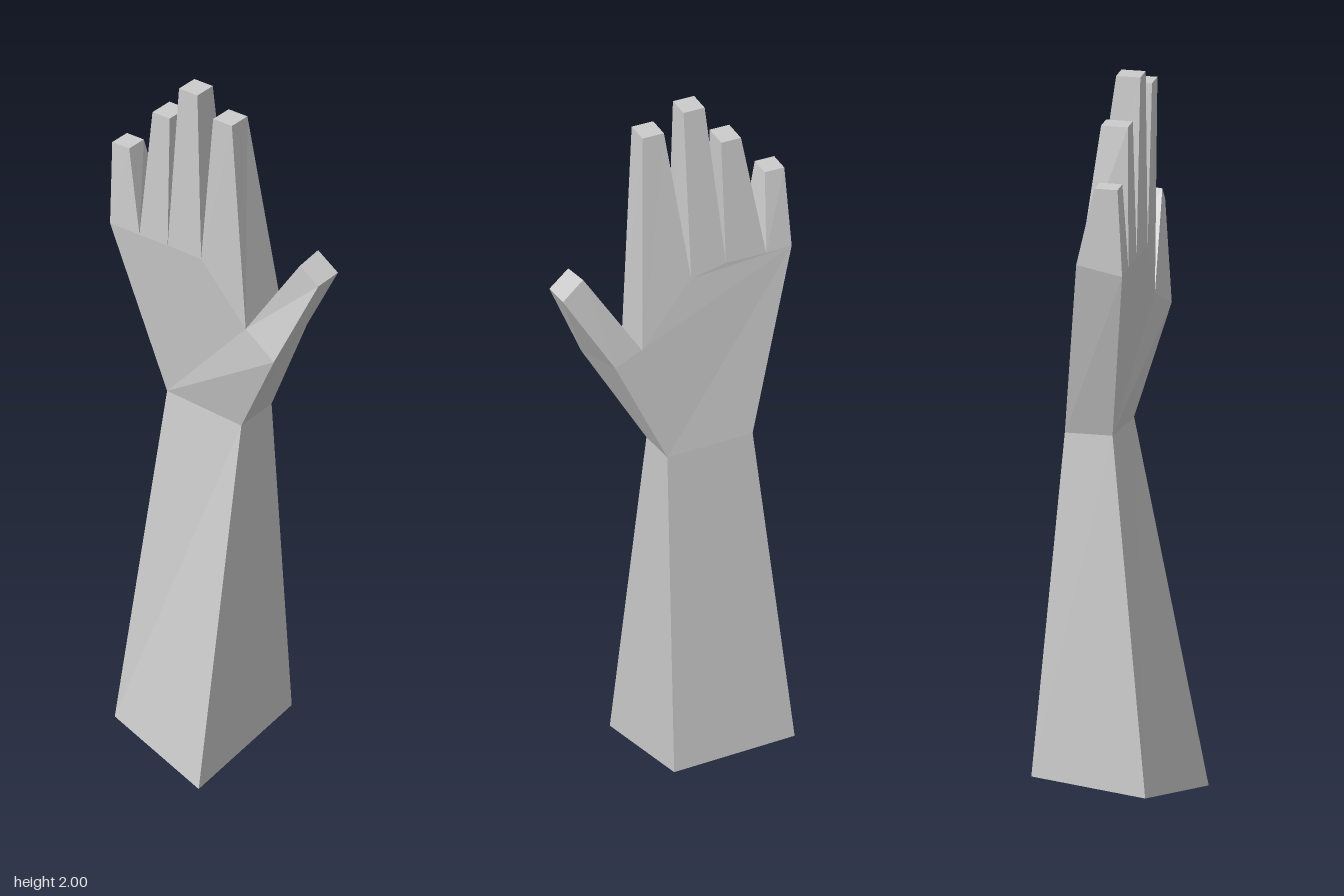
import * as THREE from 'three';

// Faceted mesh from polygons (corners counter-clockwise seen from outside)
function facetedMesh(name, faces) {
  const pos = [];
  for (const f of faces)
    for (let i = 1; i < f.length - 1; i++) pos.push(...f[0], ...f[i], ...f[i + 1]);
  const geo = new THREE.BufferGeometry();
  geo.setAttribute('position', new THREE.Float32BufferAttribute(pos, 3));
  geo.computeVertexNormals();
  const mesh = new THREE.Mesh(geo, new THREE.MeshStandardMaterial({ color: 0xcccccc, flatShading: true }));
  mesh.name = name;
  return mesh;
}

// Four sides between two sections: front left, front right, back right, back left
function sides(a, b) {
  return a.map((p, i) => {
    const j = (i + 1) % 4;
    return [p, a[j], b[j], b[i]];
  });
}

export function createModel() {
  const hand = new THREE.Group();
  hand.name = 'handAndForearm';

  const elbow = [[-0.28, 0.06, 0.11], [0.073, 0, 0.2], [0.073, 0.08, -0.2], [-0.28, 0.1, -0.2]];
  const wrist = [[-0.19, 1.03, 0], [0.06, 1.01, 0], [0.06, 1.02, -0.13], [-0.19, 1.03, -0.13]];

  // Gaps between the fingers, from the little finger to the thumb
  const frontGaps = [[-0.335, 1.515, 0.06], [-0.24, 1.51, 0.055], [-0.145, 1.51, 0.055],
    [-0.03, 1.51, 0.058], [0.11, 1.34, 0.045]];
  const backGaps = [[-0.335, 1.54, -0.065], [-0.258, 1.54, -0.07], [-0.14, 1.54, -0.07],
    [-0.037, 1.52, -0.073], [0.118, 1.35, -0.098]];
  const thumbFront = [0.22, 1.285, 0.065];
  const thumbBack = [0.2, 1.32, -0.104];

  // Forearm with a slanted cut end
  hand.add(facetedMesh('forearm', [...sides(elbow, wrist), [...elbow].reverse()]));

  // Palm, back of the hand and the two edges
  const palmFront = [wrist[0], wrist[1], thumbFront, ...[...frontGaps].reverse()];
  const palmBack = [wrist[3], wrist[2], thumbBack, ...[...backGaps].reverse()];
  hand.add(facetedMesh('palm', [
    palmFront,
    [...palmBack].reverse(),
    [wrist[1], wrist[2], thumbBack, thumbFront],
    [wrist[3], wrist[0], frontGaps[0], backGaps[0]],
  ]));

  // Fingers taper from the gaps to a flat tip: left x, right x, height, back z, front z
  const tips = {
    littleFinger: [-0.337, -0.28, 1.755, -0.015, 0.048],
    ringFinger: [-0.204, -0.146, 1.89, -0.028, 0.045],
    middleFinger: [-0.106, -0.044, 2, -0.01, 0.056],
    indexFinger: [0.012, 0.075, 1.95, -0.007, 0.06],
  };
  Object.entries(tips).forEach(([name, [x0, x1, y, z0, z1]], i) => {
    const base = [frontGaps[i], frontGaps[i + 1], backGaps[i + 1], backGaps[i]];
    const tip = [[x0, y, z1], [x1, y, z1], [x1, y, z0], [x0, y, z0]];
    hand.add(facetedMesh(name, [...sides(base, tip), tip]));
  });

  // Thumb
  const thumbBase = [frontGaps[4], thumbFront, thumbBack, backGaps[4]];
  const thumbTip = [[0.277, 1.58, 0.026], [0.335, 1.535, 0.02], [0.335, 1.54, -0.064], [0.273, 1.59, -0.058]];
  hand.add(facetedMesh('thumb', [...sides(thumbBase, thumbTip), thumbTip]));

  return hand;
}
